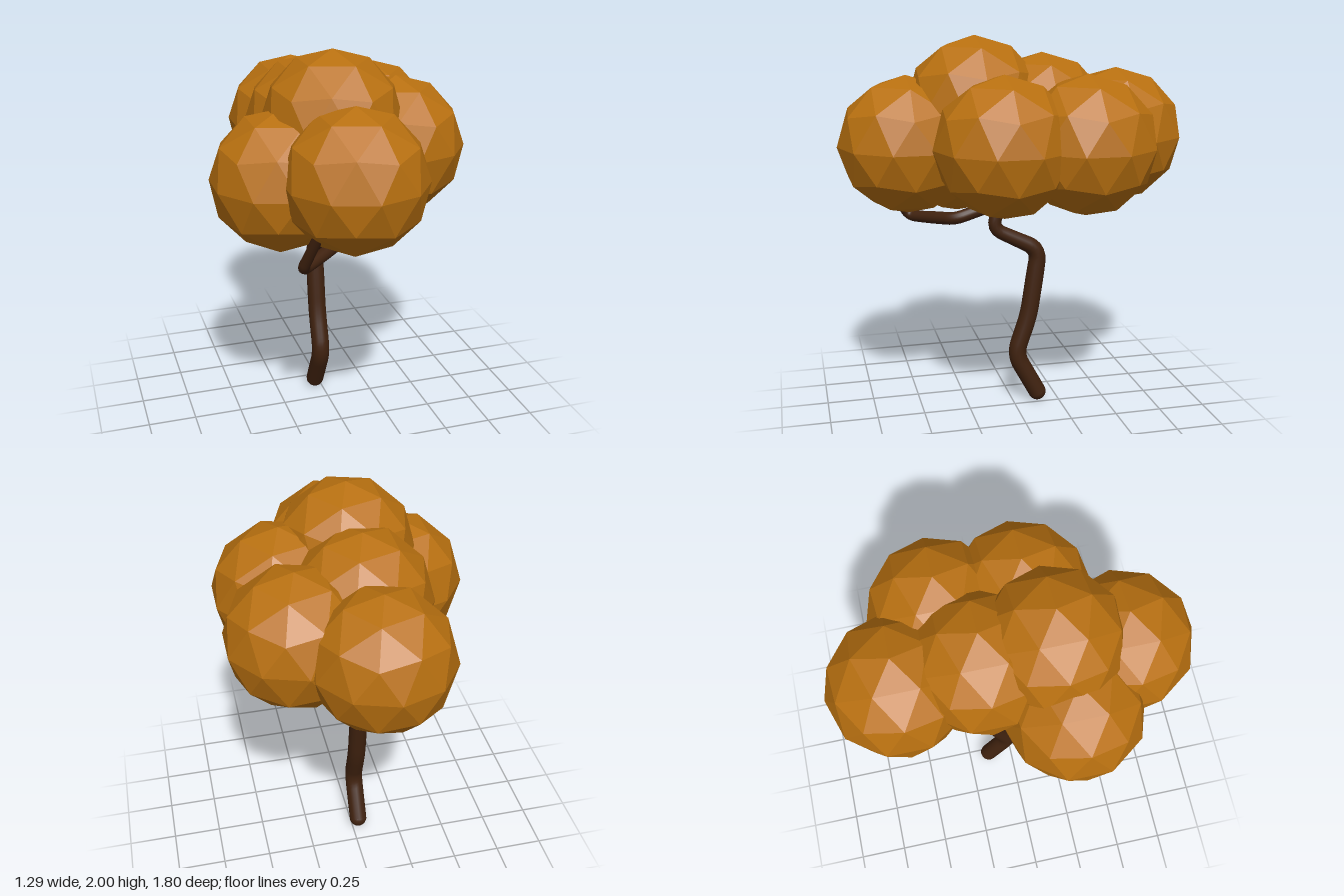
import * as THREE from 'three';

const bark = new THREE.MeshStandardMaterial({ color: 0x40220f });
const leaf = new THREE.MeshStandardMaterial({ color: 0xb87010, flatShading: true });

// Path of straight runs joined by rounded corners
function roundedPath(points, bend) {
  const p = points.map((a) => new THREE.Vector3(...a));
  const path = new THREE.CurvePath();
  let from = p[0];
  for (let i = 1; i < p.length - 1; i++) {
    const reach = (q) => p[i].clone().lerp(q, Math.min(0.45, bend / p[i].distanceTo(q)));
    const a = reach(p[i - 1]), b = reach(p[i + 1]);
    path.add(new THREE.LineCurve3(from, a));
    path.add(new THREE.QuadraticBezierCurve3(a, p[i], b));
    from = b;
  }
  path.add(new THREE.LineCurve3(from, p[p.length - 1]));
  return path;
}

// Tapering limb with round ends
function limb(name, points, r0, r1, bend) {
  const group = new THREE.Group();
  group.name = name;
  const path = roundedPath(points, bend);
  const rows = 64, sides = 16;
  const geo = new THREE.TubeGeometry(path, rows, r0, sides, false);
  const pos = geo.attributes.position, v = new THREE.Vector3();
  for (let i = 0; i <= rows; i++) {
    const u = i / rows, centre = path.getPointAt(u);
    // keep the girth low down, narrow towards the tip
    const k = 1 + (r1 / r0 - 1) * THREE.MathUtils.smoothstep(u, 0.45, 0.85);
    for (let j = 0; j <= sides; j++) {
      const n = i * (sides + 1) + j;
      v.fromBufferAttribute(pos, n).sub(centre).multiplyScalar(k).add(centre);
      pos.setXYZ(n, v.x, v.y, v.z);
    }
  }
  group.add(new THREE.Mesh(geo, bark));
  [[points[0], r0], [points[points.length - 1], r1]].forEach(([at, r]) => {
    const cap = new THREE.Mesh(new THREE.SphereGeometry(r, 16, 12), bark);
    cap.position.set(...at);
    group.add(cap);
  });
  group.children.forEach((m, i) => { m.name = name + (i ? 'End' : 'Tube'); });
  return group;
}

export function createModel() {
  const tree = new THREE.Group();
  tree.name = 'tree';

  // Crooked trunk and its branches
  tree.add(
    limb('trunk', [
      [-0.035, 0.05, -0.135], [-0.035, 0.28, -0.01], [-0.035, 0.5, -0.085],
      [-0.035, 0.87, -0.14], [-0.035, 1.0, 0.12], [-0.035, 1.17, 0.045], [-0.035, 1.32, -0.03],
    ], 0.048, 0.034, 0.07),
    limb('frontBranch', [
      [-0.035, 1.14, 0.06], [-0.04, 1.06, 0.31], [-0.29, 1.03, 0.52], [-0.24, 1.25, 0.64],
    ], 0.033, 0.026, 0.05),
    limb('sideBranch', [
      [-0.035, 1.14, 0.06], [0.04, 1.16, 0], [0.13, 1.15, -0.085],
    ], 0.033, 0.026, 0.05),
  );

  // Faceted foliage balls, turned to stand on a corner
  const ball = new THREE.IcosahedronGeometry(0.35, 1);
  ball.rotateX(-Math.atan((1 + Math.sqrt(5)) / 2));
  ball.rotateY(Math.PI / 2);
  const foliage = new THREE.Group();
  foliage.name = 'foliage';
  const clumps = {
    backClump: [-0.04, 1.475, -0.55],
    frontClump: [-0.04, 1.46, 0.55],
    topClump: [-0.04, 1.65, 0.2],
    middleClump: [-0.04, 1.56, -0.15],
    leftBackClump: [0.31, 1.48, -0.29],
    leftFrontClump: [0.31, 1.485, 0.125],
    rightClump: [-0.31, 1.395, 0.25],
  };
  for (const [name, at] of Object.entries(clumps)) {
    const mesh = new THREE.Mesh(ball, leaf);
    mesh.name = name;
    mesh.position.set(...at);
    foliage.add(mesh);
  }
  tree.add(foliage);
  return tree;
}
